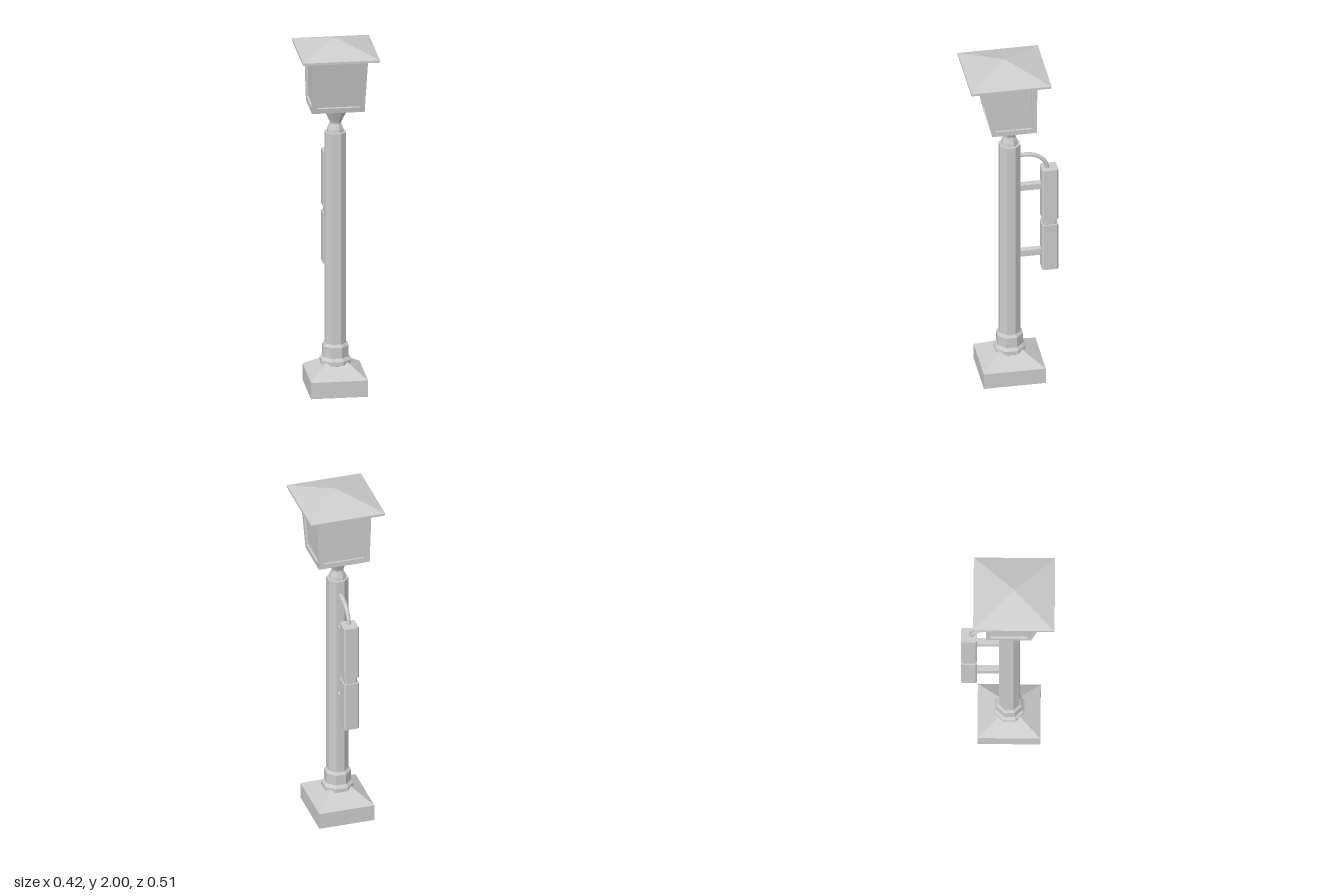
import * as THREE from 'three';

const Z = 0.008; // pole axis

export function createModel() {
  const root = new THREE.Group();
  const material = new THREE.MeshStandardMaterial({ color: 0xcccccc, flatShading: true });
  const add = (name, geometry, x = 0, y = 0, z = 0) => {
    const mesh = new THREE.Mesh(geometry, material);
    mesh.name = name;
    mesh.position.set(x, y, z);
    root.add(mesh);
    return mesh;
  };

  // Octagonal turned part with flat sides facing the axes; radii are apothems
  const turned = (name, profile) => add(name, new THREE.LatheGeometry(
    profile.map(([r, y]) => new THREE.Vector2(r / Math.cos(Math.PI / 8), y)), 8, Math.PI / 8), 0, 0, Z);

  // Rectangle at height y as four corners, counter-clockwise seen from above
  const ring = (y, hx, zBack, zFront) => [
    [-hx, y, zFront], [hx, y, zFront], [hx, y, zBack], [-hx, y, zBack],
  ].map(p => new THREE.Vector3(...p));

  // Collects outward-facing quads into one geometry
  const quads = list => {
    const pos = [];
    for (const [a, b, c, d] of list)
      for (const p of [a, b, c, a, c, d]) pos.push(p.x, p.y, p.z);
    const g = new THREE.BufferGeometry();
    g.setAttribute('position', new THREE.Float32BufferAttribute(pos, 3));
    g.computeVertexNormals();
    return g;
  };

  // Four-sided stack of rectangles, capped at both ends
  const stack = rings => {
    const list = [[...rings[0]].reverse(), rings[rings.length - 1]];
    for (let k = 0; k < rings.length - 1; k++)
      for (let i = 0; i < 4; i++) {
        const j = (i + 1) % 4;
        list.push([rings[k][i], rings[k][j], rings[k + 1][j], rings[k + 1][i]]);
      }
    return quads(list);
  };

  // Foot, collar and pole
  add('foot', stack([ring(0, 0.155, -0.163, 0.176), ring(0.092, 0.155, -0.163, 0.176),
    ring(0.17, 0.05, Z - 0.05, Z + 0.05)]));
  turned('collar', [[0, 0.14], [0.07, 0.14], [0.081, 0.152], [0.081, 0.173], [0.068, 0.19],
    [0.068, 0.25], [0.058, 0.265], [0, 0.265]]);
  turned('pole', [[0, 0.2], [0.056, 0.2], [0.056, 1.46], [0, 1.46]]);
  turned('neck', [[0, 1.455], [0.045, 1.455], [0.041, 1.48], [0.03, 1.51], [0.032, 1.52],
    [0.07, 1.605], [0, 1.605]]);

  // Lantern: leaning front, recessed panel on every side
  const low = ring(1.602, 0.143, -0.117, 0.127);
  const high = ring(1.922, 0.153, -0.117, 0.196);
  const faces = [[...low].reverse(), high];
  const panels = [];
  for (let i = 0; i < 4; i++) {
    const j = (i + 1) % 4;
    const outer = [low[i], low[j], high[j], high[i]];
    const at = (u, v) => outer[0].clone().lerp(outer[1], u)
      .lerp(outer[3].clone().lerp(outer[2], u), v);
    const inner = [at(0.1, 0.09), at(0.9, 0.09), at(0.9, 0.88), at(0.1, 0.88)];
    const normal = outer[1].clone().sub(outer[0])
      .cross(outer[3].clone().sub(outer[0])).normalize();
    const sunk = inner.map(p => p.clone().addScaledVector(normal, -0.012));
    for (let k = 0; k < 4; k++) {
      const m = (k + 1) % 4;
      faces.push([outer[k], outer[m], inner[m], inner[k]], [inner[k], inner[m], sunk[m], sunk[k]]);
    }
    panels.push(sunk);
  }
  add('lanternFrame', quads(faces));
  add('lanternPanels', quads(panels));

  // Roof: thin slab rising to a point
  add('roof', stack([ring(1.92, 0.209, -0.185, 0.253), ring(1.933, 0.209, -0.185, 0.253),
    ring(2, 0.0005, 0.0345, 0.0355)]));

  // Control boxes behind the pole, upright prisms with clipped corners
  const prism = (name, hx, hz, y0, y1) => {
    const c = 0.008;
    const shape = new THREE.Shape([[-hx + c, -hz], [hx - c, -hz], [hx, -hz + c], [hx, hz - c],
      [hx - c, hz], [-hx + c, hz], [-hx, hz - c], [-hx, -hz + c]].map(p => new THREE.Vector2(...p)));
    const g = new THREE.ExtrudeGeometry(shape, { depth: y1 - y0, bevelEnabled: false });
    add(name, g.rotateX(-Math.PI / 2), 0, y0, -0.209);
  };
  prism('upperBox', 0.042, 0.044, 0.97, 1.283);
  prism('boxJoint', 0.034, 0.036, 0.92, 0.98);
  prism('lowerBox', 0.042, 0.044, 0.65, 0.933);

  // Brackets holding the boxes
  for (const y of [1.174, 0.753])
    add('bracket', new THREE.BoxGeometry(0.036, 0.035, 0.14), 0, y, -0.11);

  // Cable from the pole into the upper box
  const path = new THREE.CatmullRomCurve3([[1.375, -0.03], [1.377, -0.09], [1.366, -0.135],
    [1.335, -0.177], [1.30, -0.194], [1.27, -0.198]].map(([y, z]) => new THREE.Vector3(0, y, z)));
  add('cable', new THREE.TubeGeometry(path, 14, 0.012, 8));

  return root;
}
